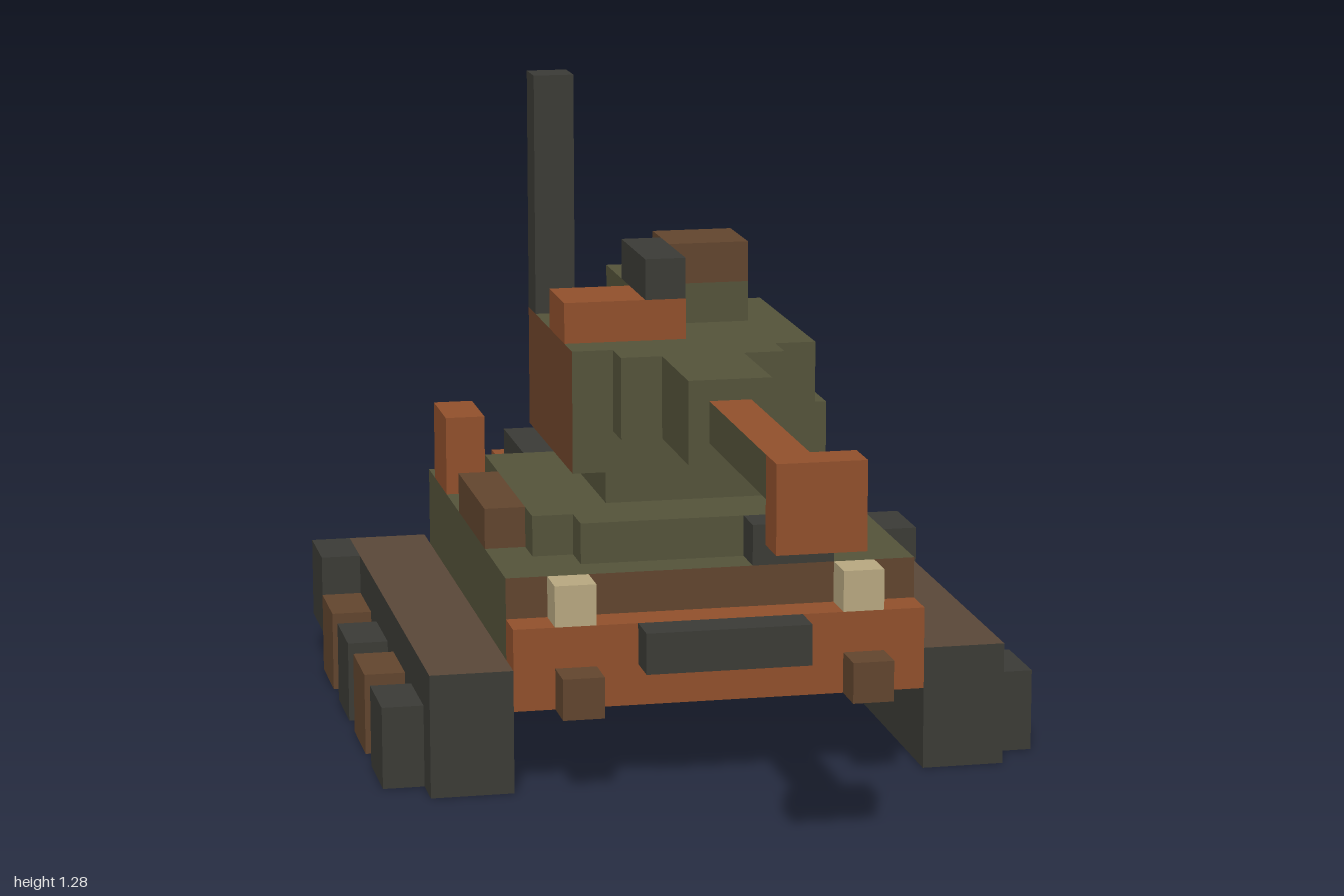
import * as THREE from 'three';

const mat = (name, color) => {
  const m = new THREE.MeshStandardMaterial({ color });
  m.name = name;
  return m;
};

export function createModel() {
  const olive = mat('olive', 0x54533a);
  const rust = mat('rust', 0x91502c);
  const dark = mat('dark steel', 0x3b3b36);
  const brown = mat('brown', 0x62452e);
  const mud = mat('muddy track', 0x5a4738);
  const tan = mat('lamp', 0xb8a880);
  const rusted = mat('rusted plate', 0x70452b);

  const model = new THREE.Group();
  model.name = 'tank';

  // Box from its limits; m is a material or six in the order +x -x +y -y +z -z
  const box = (name, m, x0, x1, y0, y1, z0, z1, parent = model) => {
    const mesh = new THREE.Mesh(new THREE.BoxGeometry(x1 - x0, y1 - y0, z1 - z0), m);
    mesh.position.set((x0 + x1) / 2, (y0 + y1) / 2, (z0 + z1) / 2);
    mesh.name = name;
    parent.add(mesh);
  };
  // The same box on both sides
  const pair = (name, m, x0, x1, ...rest) => {
    box(name + 'Left', m, x0, x1, ...rest);
    box(name + 'Right', m, -x1, -x0, ...rest);
  };

  // Tracks, sprockets and wheels
  pair('track', [dark, dark, mud, dark, dark, dark], 0.4, 0.56, 0, 0.24, -0.92, 0.2);
  pair('sprocket', dark, 0.56, 0.64, 0.08, 0.24, -0.92, -0.76);
  for (let i = 0; i < 4; i++) {
    const z = 0.12 - i * 0.24;
    pair('wheel' + (i + 1), i % 2 ? brown : dark, 0.56, 0.64, 0, 0.16, z - 0.16, z);
  }

  // Hull
  box('hull', [olive, olive, olive, olive, brown, rusted], -0.4, 0.4, 0.16, 0.4, -0.84, 0.12);
  box('bowPlate', [rust, rust, rust, olive, rust, rust], -0.4, 0.4, 0.16, 0.32, 0.12, 0.2);
  box('bumper', dark, -0.16, 0.16, 0.24, 0.32, 0.2, 0.28);
  pair('towHook', brown, 0.24, 0.32, 0.16, 0.24, 0.2, 0.28);
  pair('headlight', tan, 0.24, 0.32, 0.32, 0.4, 0.12, 0.2);
  pair('exhaust', rust, 0.16, 0.24, 0.32, 0.4, -1, -0.84);

  // Deck and stowage
  box('deck', olive, -0.32, 0.32, 0.4, 0.48, -0.6, -0.04);
  box('deckFront', olive, -0.24, 0.24, 0.4, 0.48, -0.04, 0.04);
  box('driverHatch', dark, 0.08, 0.24, 0.4, 0.48, 0.04, 0.12);
  box('engineGrille', dark, -0.24, 0.24, 0.4, 0.48, -0.84, -0.6);
  box('rearBoxLeft', olive, 0.32, 0.4, 0.4, 0.56, -0.76, -0.6);
  box('rearBoxRight', rust, -0.4, -0.32, 0.4, 0.56, -0.76, -0.6);
  box('toolBox', brown, -0.4, -0.32, 0.4, 0.48, -0.44, -0.12);
  box('deckCrate', rust, 0.16, 0.32, 0.48, 0.56, -0.6, -0.44);

  // Turret
  const turret = new THREE.Group();
  turret.name = 'turret';
  model.add(turret);
  const part = (name, m, ...limits) => box(name, m, ...limits, turret);
  part('turretRing', olive, -0.16, 0.16, 0.48, 0.56, -0.6, -0.12);
  part('turretBody', [olive, rusted, olive, olive, olive, olive], -0.24, 0.24, 0.56, 0.8, -0.52, -0.04);
  part('bustle', olive, -0.16, 0.16, 0.56, 0.72, -0.68, -0.52);
  part('mantlet', olive, -0.16, 0.16, 0.64, 0.8, -0.04, 0.04);
  part('cupola', olive, -0.08, 0.16, 0.8, 0.88, -0.52, -0.28);
  part('cupolaHatch', brown, 0, 0.16, 0.88, 0.96, -0.44, -0.28);
  part('roofBox', rust, -0.24, 0, 0.8, 0.88, -0.28, -0.12);
  part('periscope', dark, -0.08, 0, 0.88, 0.96, -0.36, -0.12);
  part('antenna', dark, -0.24, -0.16, 0.8, 1.28, -0.52, -0.44);

  // Gun
  part('gunSleeve', olive, -0.08, 0.08, 0.64, 0.8, 0.04, 0.28);
  part('barrel', [olive, olive, rust, olive, olive, olive], -0.04, 0.04, 0.68, 0.76, 0.28, 0.92);
  part('muzzle', rust, -0.08, 0.08, 0.64, 0.8, 0.92, 1);

  return model;
}
